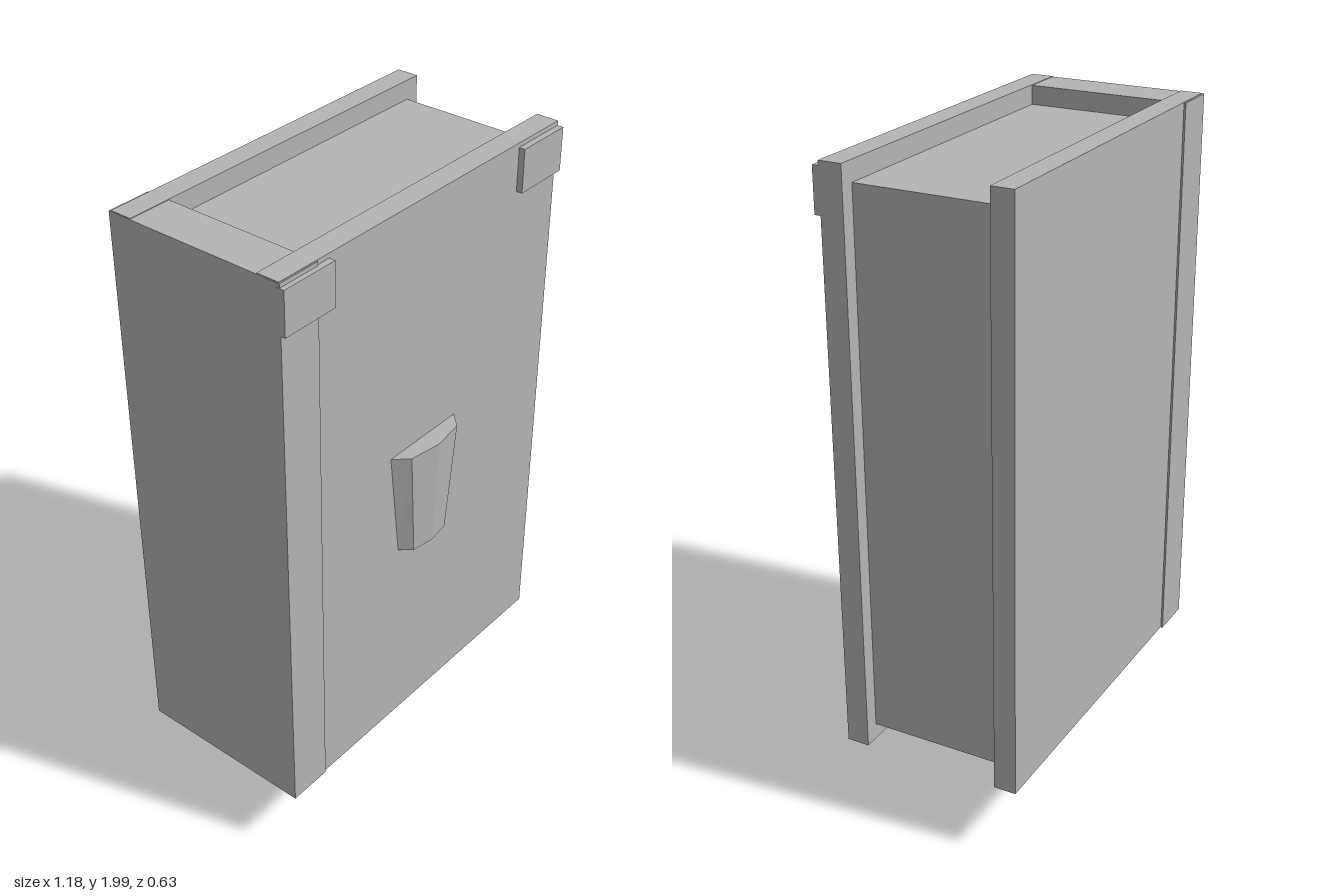
import * as THREE from 'three';

export function createModel() {
  const model = new THREE.Group();
  model.name = 'book';
  const grey = new THREE.MeshStandardMaterial({ color: 0xb4b4b4, flatShading: true });
  grey.name = 'plain grey';

  const add = (name, geometry) => {
    const mesh = new THREE.Mesh(geometry, grey);
    mesh.name = name;
    model.add(mesh);
    return mesh;
  };

  // Box given by its extents on each axis
  const box = (name, [x0, x1], [y0, y1], [z0, z1]) =>
    add(name, new THREE.BoxGeometry(x1 - x0, y1 - y0, z1 - z0))
      .position.set((x0 + x1) / 2, (y0 + y1) / 2, (z0 + z1) / 2);

  // Covers, spine and recessed page block
  box('frontCover', [-0.588, 0.588], [0.225, 2], [0.185, 0.256]);
  box('backCover', [-0.588, 0.588], [0.225, 2], [-0.314, -0.245]);
  box('spine', [-0.59, -0.45], [0.223, 1.998], [-0.32, 0.26]);
  box('pages', [-0.46, 0.543], [0.275, 1.94], [-0.25, 0.19]);

  // Corner guards on the front cover
  box('cornerRight', [-0.591, -0.403], [1.853, 1.986], [0.25, 0.275]);
  box('cornerLeft', [0.4, 0.588], [1.853, 1.986], [0.25, 0.275]);

  // Faceted, tapering emblem: a lower and an upper profile joined by quads
  const profile = (y, w, inner, zSide, zMid) => [
    [-w, y, 0.25], [-w, y, 0.256], [-inner, y, zSide], [0, y, zMid],
    [inner, y, zSide], [w, y, 0.256], [w, y, 0.25],
  ];
  const low = profile(0.88, 0.105, 0.075, 0.291, 0.302);
  const high = profile(1.235, 0.147, 0.106, 0.299, 0.315);
  const points = [];
  for (let i = 0; i < low.length - 1; i++) {
    points.push(low[i], low[i + 1], high[i + 1], low[i], high[i + 1], high[i]);
    if (i > 0) {
      points.push(high[0], high[i], high[i + 1]);
      points.push(low[0], low[i + 1], low[i]);
    }
  }
  const emblem = new THREE.BufferGeometry();
  emblem.setAttribute('position', new THREE.Float32BufferAttribute(points.flat(), 3));
  emblem.computeVertexNormals();
  add('emblem', emblem);

  // Bent bookmark: two four-sided bars hanging below the pages
  const bar = (name, a, b) => {
    const from = new THREE.Vector3(...a), to = new THREE.Vector3(...b);
    const dir = to.clone().sub(from);
    const mesh = add(name, new THREE.CylinderGeometry(0.047, 0.047, dir.length(), 4));
    mesh.position.copy(from).add(to).multiplyScalar(0.5);
    mesh.quaternion.setFromUnitVectors(new THREE.Vector3(0, 1, 0), dir.normalize().negate());
  };
  bar('bookmarkUpper', [-0.286, 0.3, 0.04], [-0.286, 0.13, 0.065]);
  bar('bookmarkLower', [-0.285, 0.125, 0.065], [-0.364, 0.037, 0.08]);

  return model;
}
